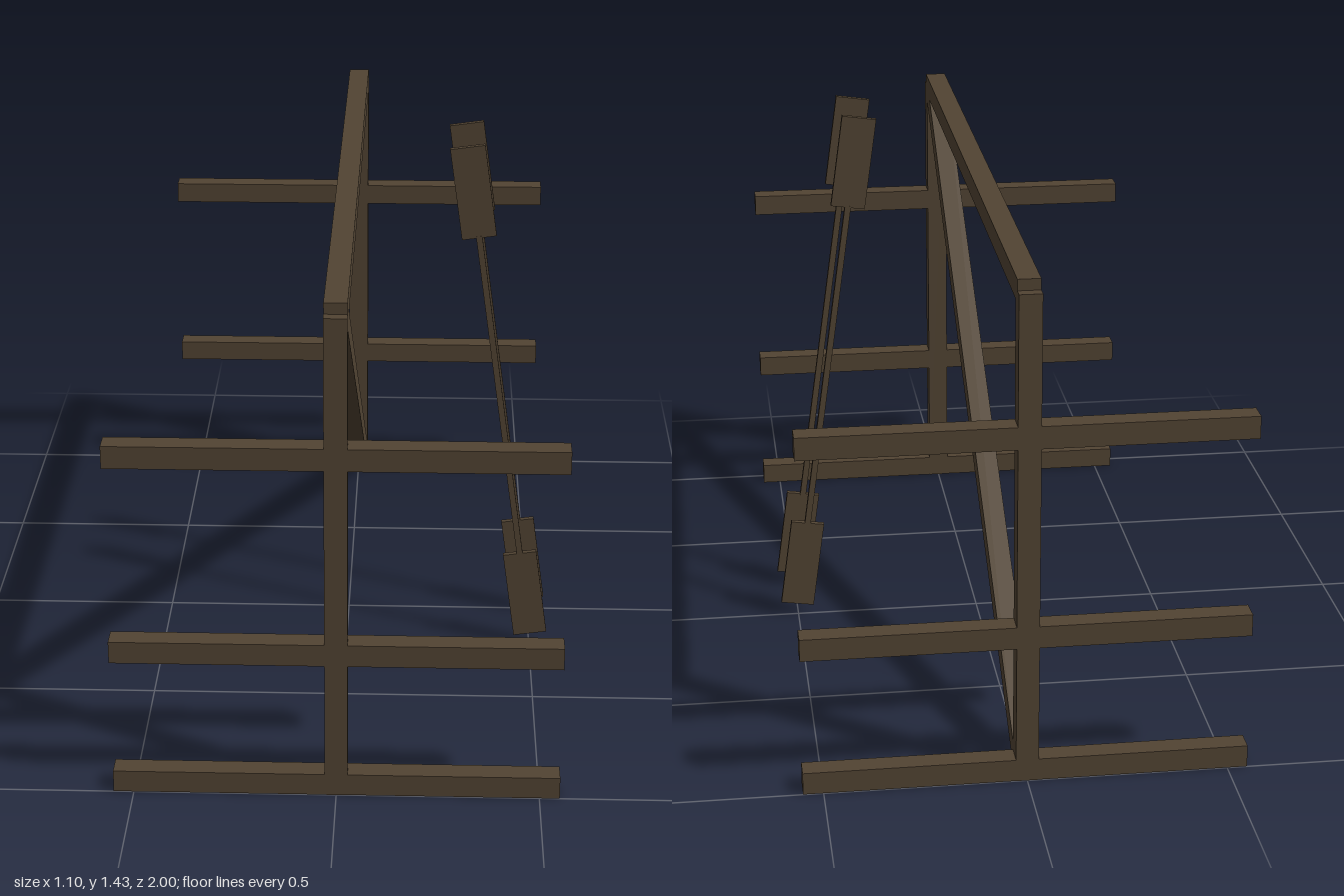
import * as THREE from 'three';

const wood = new THREE.MeshStandardMaterial({ color: 0x524433 });
const T = 0.056; // timber thickness

function box(name, w, h, d, x, y, z) {
  const mesh = new THREE.Mesh(new THREE.BoxGeometry(w, h, d), wood);
  mesh.name = name;
  mesh.position.set(x, y, z);
  return mesh;
}

// Double-bladed paddle, built upright and centred on its shaft
function makePaddle() {
  const paddle = new THREE.Group();
  paddle.name = 'paddle';
  paddle.add(box('shaft', 0.016, 0.92, 0.016, 0, 0, 0));
  for (const s of [1, -1]) paddle.add(box('blade', 0.09, 0.245, 0.015, 0, s * 0.578, 0));
  return paddle;
}

export function createModel() {
  const model = new THREE.Group();
  model.name = 'boatRack';

  // End frames: a post with three crossbars
  for (const s of [1, -1]) {
    const frame = new THREE.Group();
    frame.name = s > 0 ? 'frontFrame' : 'backFrame';
    frame.position.z = s * (1 - T / 2);
    frame.add(box('post', T, 1.26, T, 0, 0.63, 0));
    for (const y of [0.029, 0.388, 0.905]) frame.add(box('crossbar', 1.1, T + 0.001, T, 0, y, 0));
    model.add(frame);
  }

  // Ridge beam along the top
  model.add(box('topBeam', T, T, 1.944, 0, 1.26, 0));

  // Diagonal brace from the front top to the back foot
  const a = new THREE.Vector2(0.965, 1.254), b = new THREE.Vector2(-0.965, 0.034);
  const brace = box('diagonalBrace', T, T, a.distanceTo(b), 0, (a.y + b.y) / 2, 0);
  brace.rotation.x = -Math.atan2(a.y - b.y, a.x - b.x);
  model.add(brace);

  // Two leaning paddles on the left side
  for (const z of [0, 0.205]) {
    const paddle = makePaddle();
    paddle.position.set(0.405, 0.728, z);
    paddle.rotation.z = 0.139;
    model.add(paddle);
  }
  return model;
}
